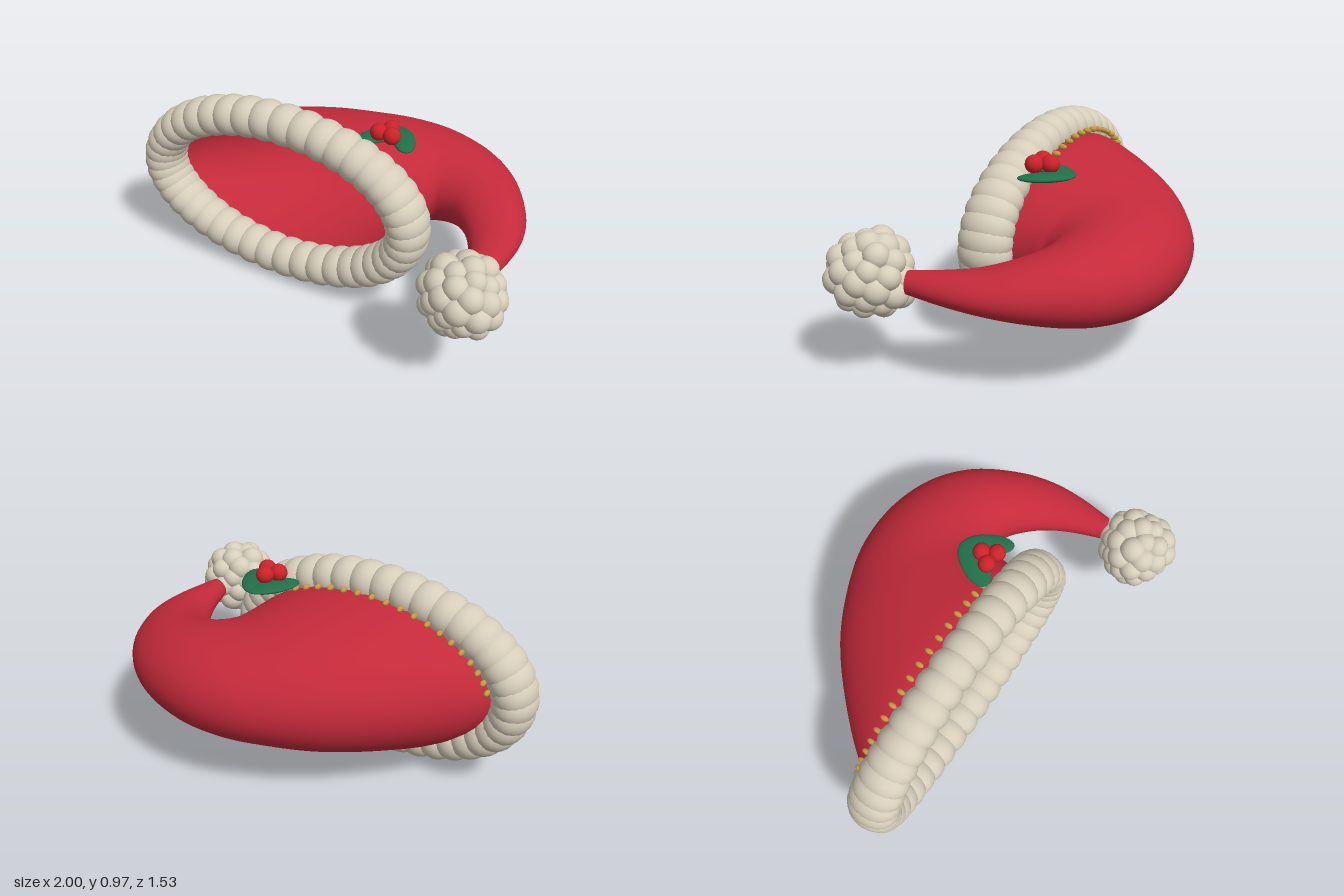
import * as THREE from 'three';

const mat = (name, color, side = THREE.FrontSide) => {
  const m = new THREE.MeshStandardMaterial({ color, side });
  m.name = name;
  return m;
};

export function createModel() {
  const red = mat('red felt', 0xc42a3a, THREE.DoubleSide);
  const fur = mat('cream fur', 0xd6cdba);
  const green = mat('leaf green', 0x21704a);
  const berryRed = mat('berry red', 0xcc2229);
  const gold = mat('gold', 0xc9973f);

  const model = new THREE.Group();
  model.name = 'hat';
  const ball = new THREE.SphereGeometry(1, 20, 14);
  const bead = new THREE.SphereGeometry(1, 10, 8);

  const addBall = (parent, name, material, pos, scale, geo = ball) => {
    const m = new THREE.Mesh(geo, material);
    m.name = name;
    m.position.set(...pos);
    m.scale.set(...scale);
    parent.add(m);
    return m;
  };

  // Felt body: elliptical sections between the outer and inner bend lines
  // each row: outer x, outer z, inner x, inner z, half height
  const rows = [
    [-0.83, -0.25, 0.41, 0.12, 0.365],
    [-0.73, -0.37, 0.45, 0.0, 0.365],
    [-0.5, -0.53, 0.47, -0.05, 0.335],
    [-0.2, -0.68, 0.485, -0.08, 0.295],
    [0.05, -0.745, 0.5, -0.11, 0.262],
    [0.3, -0.765, 0.52, -0.125, 0.24],
    [0.55, -0.71, 0.55, -0.135, 0.22],
    [0.78, -0.57, 0.59, -0.12, 0.19],
    [0.92, -0.38, 0.64, -0.08, 0.16],
    [0.99, -0.12, 0.69, 0.0, 0.12],
    [0.99, 0.06, 0.73, 0.1, 0.09],
    [0.95, 0.22, 0.755, 0.22, 0.07],
    [0.88, 0.39, 0.77, 0.39, 0.05],
  ];
  const outer = new THREE.CatmullRomCurve3(rows.map(r => new THREE.Vector3(r[0], r[4], r[1])));
  const inner = new THREE.CatmullRomCurve3(rows.map(r => new THREE.Vector3(r[2], r[4], r[3])));
  const steps = 72, sides = 48, midY = 0.488;
  const pos = [], index = [];
  for (let i = 0; i <= steps; i++) {
    const o = outer.getPoint(i / steps), n = inner.getPoint(i / steps);
    for (let j = 0; j < sides; j++) {
      const a = (j / sides) * Math.PI * 2;
      const k = (1 + Math.cos(a)) / 2;
      pos.push(n.x + (o.x - n.x) * k, midY + Math.sin(a) * o.y, n.z + (o.z - n.z) * k);
      if (i < steps) {
        const p = i * sides + j, q = i * sides + (j + 1) % sides;
        index.push(p, q, p + sides, q, q + sides, p + sides);
      }
    }
  }
  const bodyGeo = new THREE.BufferGeometry();
  bodyGeo.setAttribute('position', new THREE.Float32BufferAttribute(pos, 3));
  bodyGeo.setIndex(index);
  bodyGeo.computeVertexNormals();
  const body = new THREE.Mesh(bodyGeo, red);
  body.name = 'feltBody';
  model.add(body);

  // Tilted frame shared by the fur brim and the bead trim
  const brim = new THREE.Group();
  brim.name = 'brim';
  brim.position.set(-0.215, midY, -0.05);
  brim.rotation.y = -0.282;
  model.add(brim);

  // Fur brim: overlapping tufts round an ellipse
  const tufts = 42;
  for (let i = 0; i < tufts; i++) {
    const a = (i / tufts) * Math.PI * 2, c = Math.cos(a);
    addBall(brim, 'furTuft', fur, [0.71 * c, 0.385 * Math.sin(a), 0],
      [0.102, 0.102, 0.11 + 0.02 * c * c]);
  }

  // Gold beads along the upper seam behind the brim
  for (let i = 0; i < 18; i++) {
    const a = THREE.MathUtils.degToRad(54 + i * 6.6);
    addBall(brim, 'goldBead', gold, [0.65 * Math.cos(a), 0.385 * Math.sin(a), -0.135],
      [0.013, 0.014, 0.022], bead);
  }

  // Pompom: small tufts spread evenly over a core
  const pompom = new THREE.Group();
  pompom.name = 'pompom';
  pompom.position.set(0.768, 0.495, 0.56);
  model.add(pompom);
  addBall(pompom, 'pompomCore', fur, [0, 0, 0], [0.15, 0.15, 0.15]);
  const count = 46;
  for (let i = 0; i < count; i++) {
    const y = 1 - (2 * i + 1) / count, r = Math.sqrt(1 - y * y), a = i * 2.39996;
    const d = 0.138 + 0.008 * Math.sin(i * 5.3), s = 0.06 + 0.006 * Math.sin(i * 3.7);
    addBall(pompom, 'pompomTuft', fur, [d * r * Math.cos(a), d * y, d * r * Math.sin(a)], [s, s, s]);
  }

  // Holly: two flat leaves and three berries
  const leafA = addBall(model, 'hollyLeaf', green, [0.275, 0.828, -0.14], [0.13, 0.018, 0.066]);
  leafA.rotation.y = 0.75;
  const leafB = addBall(model, 'hollyLeaf', green, [0.385, 0.828, -0.11], [0.125, 0.018, 0.055]);
  leafB.rotation.y = -1.3;
  for (const [x, z] of [[0.322, -0.122], [0.27, -0.08], [0.337, -0.052]])
    addBall(model, 'hollyBerry', berryRed, [x, 0.872, z], [0.042, 0.042, 0.042]);

  return model;
}
